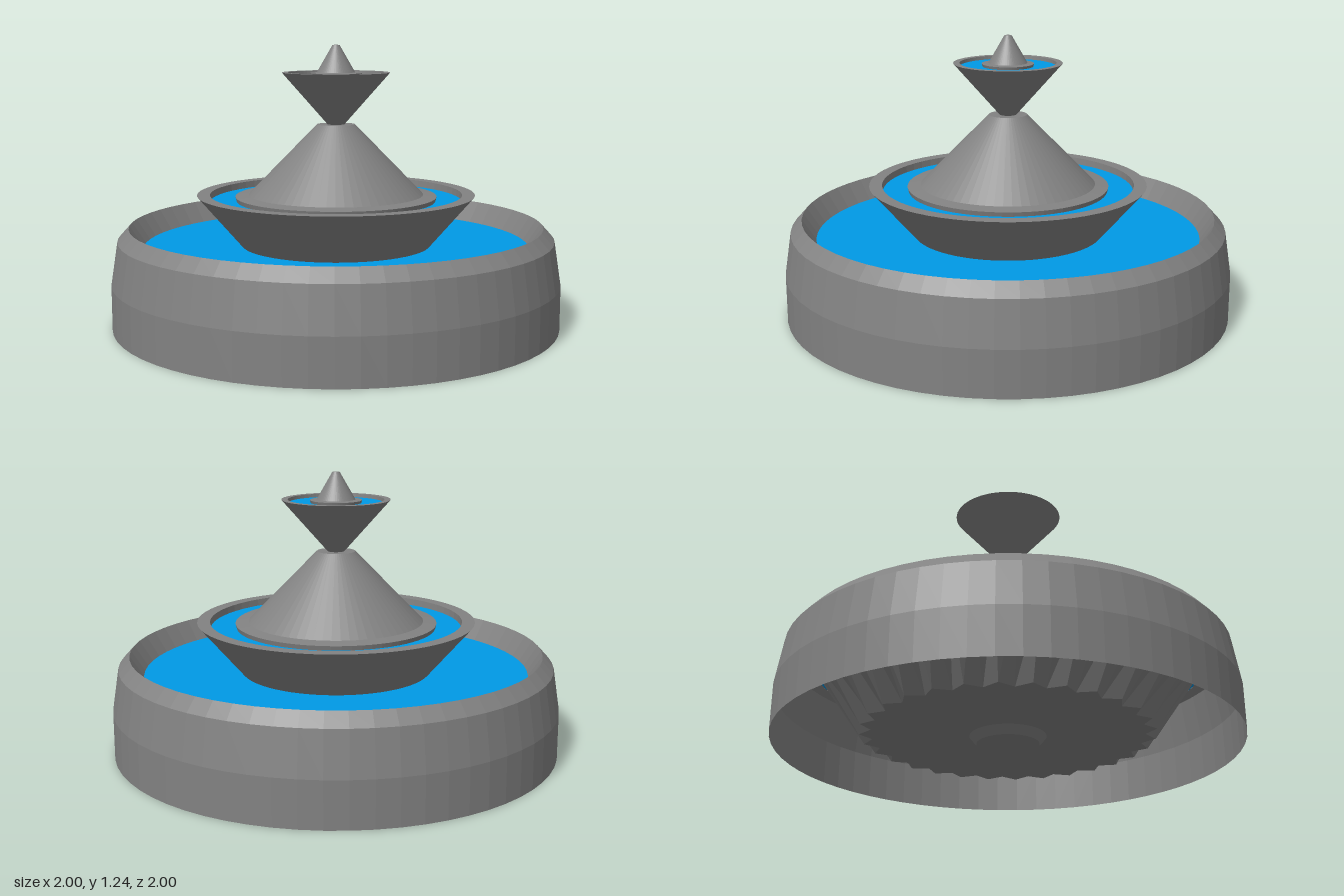
import * as THREE from 'three';

const SEGMENTS = 64;
const stone = new THREE.MeshStandardMaterial({ color: 0x828282, flatShading: true, side: THREE.DoubleSide });
const blue = new THREE.MeshStandardMaterial({ color: 0x0099e6, side: THREE.DoubleSide });

export function createModel() {
  const model = new THREE.Group();
  model.name = 'tieredFountain';

  const add = (name, geometry, material = stone) => {
    const mesh = new THREE.Mesh(geometry, material);
    mesh.name = name;
    model.add(mesh);
    return mesh;
  };
  // Turned part from [radius, height] pairs
  const turned = (name, profile) =>
    add(name, new THREE.LatheGeometry(profile.map(([r, y]) => new THREE.Vector2(r, y)), SEGMENTS));
  // Flat water surface
  const water = (name, radius, y) => {
    const mesh = add(name, new THREE.CircleGeometry(radius, SEGMENTS), blue);
    mesh.rotation.x = -Math.PI / 2;
    mesh.position.y = y;
  };

  // Hollow outer wall with bevelled rim and sloping inside
  turned('basinWall', [[1, 0], [1, 0.2], [0.97, 0.39], [0.92, 0.445], [0.858, 0.35]]);
  water('basinWater', 0.86, 0.352);

  // Fluted bowl under the water: alternate corners of its floor move in and out
  const flutes = 30;
  const bowl = new THREE.CylinderGeometry(0.84, 0.6, 0.295, flutes * 2, 1);
  const p = bowl.attributes.position;
  for (let i = 0; i < p.count; i++) {
    const r = Math.hypot(p.getX(i), p.getZ(i));
    if (p.getY(i) > 0 || r < 0.01) continue;
    const step = Math.round(Math.atan2(p.getZ(i), p.getX(i)) * flutes / Math.PI);
    const k = (step % 2 === 0 ? 0.635 : 0.585) / r;
    p.setX(i, p.getX(i) * k);
    p.setZ(i, p.getZ(i) * k);
  }
  bowl.computeVertexNormals();
  add('flutedBowl', bowl).position.y = 0.1975;

  // Middle cup; its tip reaches through the bowl floor
  turned('middleCup', [[0, 0.015], [0.135, 0.015], [0.62, 0.58], [0.563, 0.58], [0.56, 0.545]]);
  water('middleWater', 0.561, 0.55);

  // Middle cone standing on a low collar
  turned('middleCone', [[0.44, 0.53], [0.45, 0.57], [0.39, 0.578], [0.085, 0.89], [0, 0.89]]);

  // Top cup, its collar and finial
  turned('topCup', [[0, 0.87], [0.02, 0.87], [0.24, 1.12], [0.212, 1.12], [0.21, 1.1]]);
  water('topWater', 0.211, 1.105);
  turned('finial', [[0.11, 1.1], [0.115, 1.117], [0.085, 1.12], [0.016, 1.24], [0, 1.242]]);

  return model;
}
